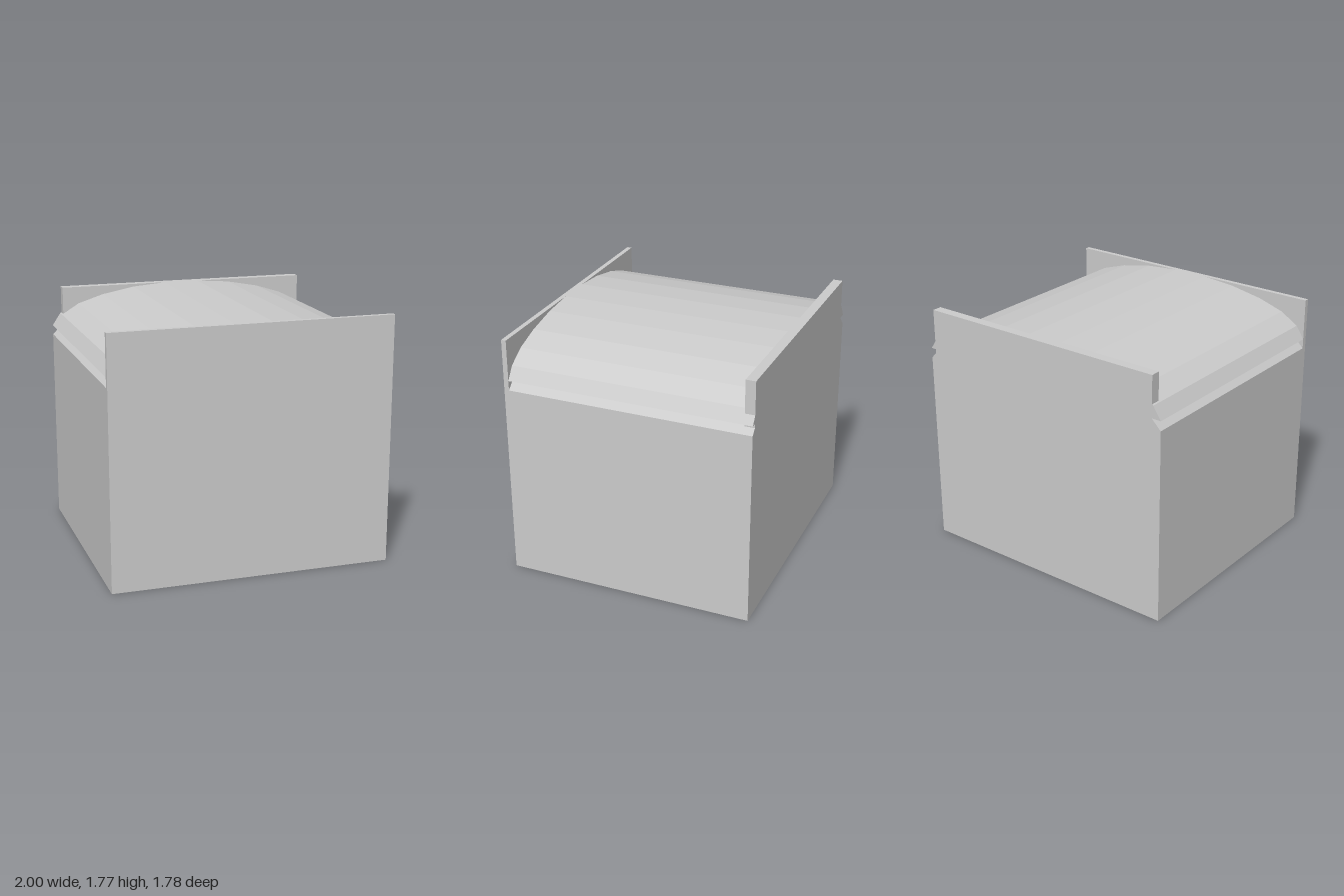
import * as THREE from 'three';

const material = new THREE.MeshStandardMaterial({ color: 0xcccccc, flatShading: true });

const WALL = 1.41, EAVE = 1.48, TOP = 1.775;

// Extrudes a front-facing outline between two depths
function slab(name, points, zBack, zFront) {
  const shape = new THREE.Shape(points.map(([x, y]) => new THREE.Vector2(x, y)));
  const geometry = new THREE.ExtrudeGeometry(shape, { depth: zFront - zBack, bevelEnabled: false });
  geometry.translate(0, 0, zBack);
  const mesh = new THREE.Mesh(geometry, material);
  mesh.name = name;
  return mesh;
}

const mirror = (points) => points.map(([x, y]) => [-x, y]).reverse();

export function createModel() {
  const group = new THREE.Group();
  group.name = 'vaultedBlock';

  // Block with a V groove under each eave and a faceted vaulted roof
  const half = [
    [1, 0], [1, WALL], [0.93, EAVE - 0.001], [0.93, EAVE], [1, EAVE],
    [0.94, 1.57], [0.81, 1.65], [0.62, 1.71], [0.38, 1.755], [0.13, TOP],
  ];
  group.add(slab('vaultedBody', [...half, ...mirror(half)], -0.82, 0.855));

  // Full-width front wall
  group.add(slab('frontWall', [[-1, 0], [1, 0], [1, TOP], [-1, TOP]], 0.855, 0.89));

  // Back wall: narrower parapet, with the eaves and grooves running through it
  group.add(slab('backWall', [
    [-1, 0], [1, 0], [1, WALL], [0.96, 1.45], [0.96, EAVE], [1, EAVE], [0.96, 1.54], [0.96, TOP],
    [-0.93, TOP], [-0.93, 1.576], [-0.94, 1.57], [-1, EAVE], [-0.93, EAVE], [-0.93, EAVE - 0.001], [-1, WALL],
  ], -0.89, -0.82));

  return group;
}
